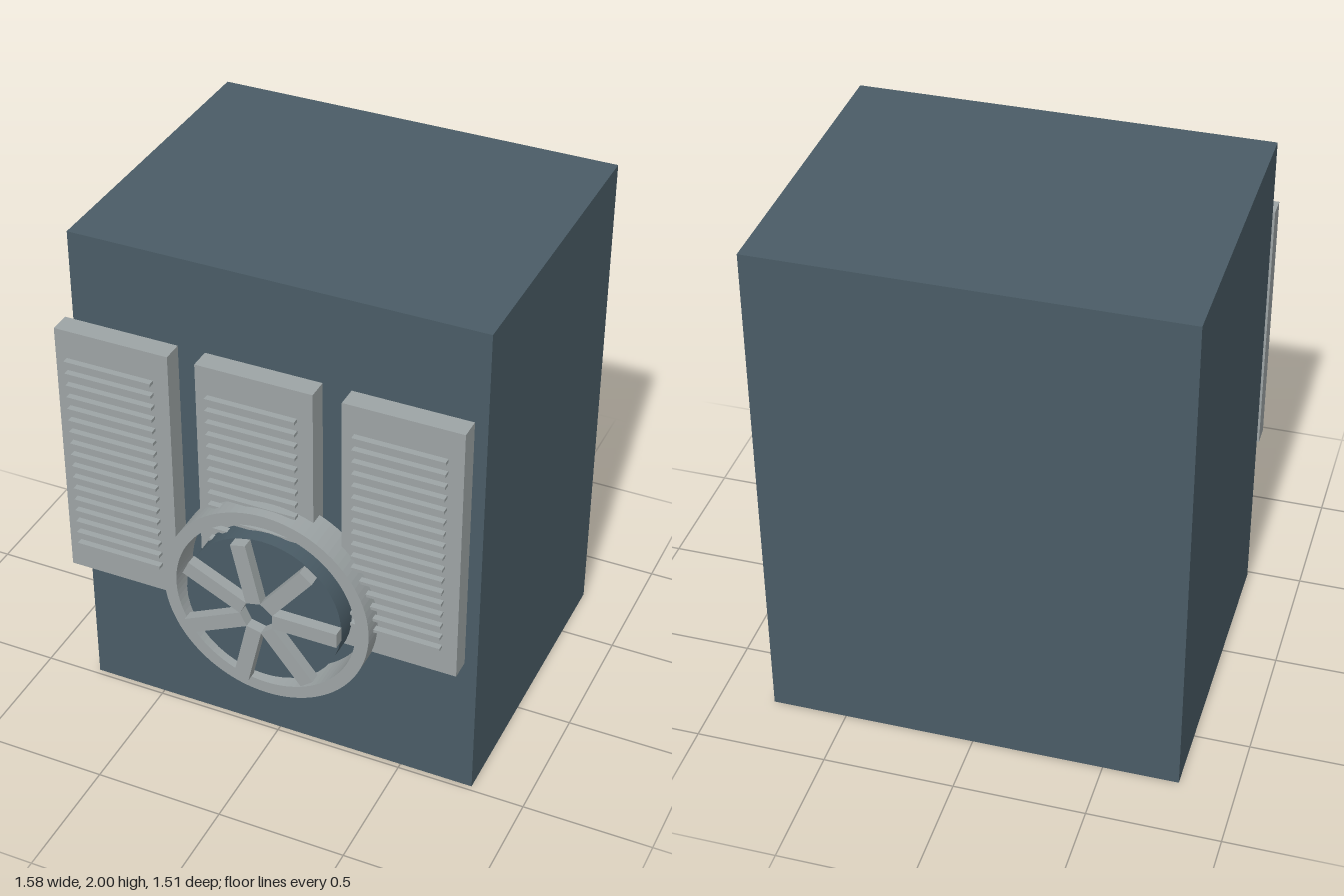
import * as THREE from 'three';

export function createModel() {
  const model = new THREE.Group();
  model.name = 'ventilatedCabinet';

  const slate = new THREE.MeshStandardMaterial({ color: 0x4a5c66 });
  slate.name = 'slate';
  const paleGrey = new THREE.MeshStandardMaterial({ color: 0x9da4a5 });
  paleGrey.name = 'paleGrey';

  function add(parent, name, geometry, material, x = 0, y = 0, z = 0) {
    const mesh = new THREE.Mesh(geometry, material);
    mesh.name = name;
    mesh.position.set(x, y, z);
    parent.add(mesh);
    return mesh;
  }

  // Cabinet body
  add(model, 'cabinetBody', new THREE.BoxGeometry(1.576, 2, 1.235), slate, 0, 1, -0.138);

  // Three louvred panels, each with a column of thin slats in front
  const panelGeometry = new THREE.BoxGeometry(0.445, 1.045, 0.08);
  const slatGeometry = new THREE.BoxGeometry(0.341, 0.012, 0.025);
  for (const x of [-0.566, -0.016, 0.536]) {
    const louvre = new THREE.Group();
    louvre.name = 'louvrePanel';
    louvre.position.x = x;
    add(louvre, 'panel', panelGeometry, paleGrey, 0, 1.158, 0.571);
    for (let i = 0; i < 17; i++) {
      add(louvre, 'slat', slatGeometry, paleGrey, 0, 0.768 + i * 0.0502, 0.6365);
    }
    model.add(louvre);
  }

  // Fan, centred on its axle
  const fan = new THREE.Group();
  fan.name = 'fan';
  fan.position.set(0.05, 0.768, 0);
  model.add(fan);

  // Outer ring
  const ringShape = new THREE.Shape().absarc(0, 0, 0.405, 0, Math.PI * 2);
  ringShape.holes.push(new THREE.Path().absarc(0, 0, 0.355, 0, Math.PI * 2, true));
  const ringGeometry = new THREE.ExtrudeGeometry(ringShape, {
    depth: 0.13, bevelEnabled: false, curveSegments: 48,
  });
  add(fan, 'fanRing', ringGeometry, paleGrey, 0, 0, 0.56);

  // Backing disc and hub
  function disc(name, radius, back, front) {
    const geometry = new THREE.CylinderGeometry(radius, radius, front - back, 48);
    geometry.rotateX(Math.PI / 2);
    add(fan, name, geometry, slate, 0, 0, (back + front) / 2);
  }
  disc('fanDisc', 0.305, 0.547, 0.702);
  disc('fanHub', 0.056, 0.508, 0.715);

  // Seven straight blades around the hub
  const bladeGeometry = new THREE.BoxGeometry(0.25, 0.06, 0.043);
  bladeGeometry.translate(0.185, 0, 0.733);
  for (let i = 0; i < 7; i++) {
    add(fan, 'fanBlade', bladeGeometry, paleGrey).rotation.z = (i / 7) * Math.PI * 2;
  }

  return model;
}
